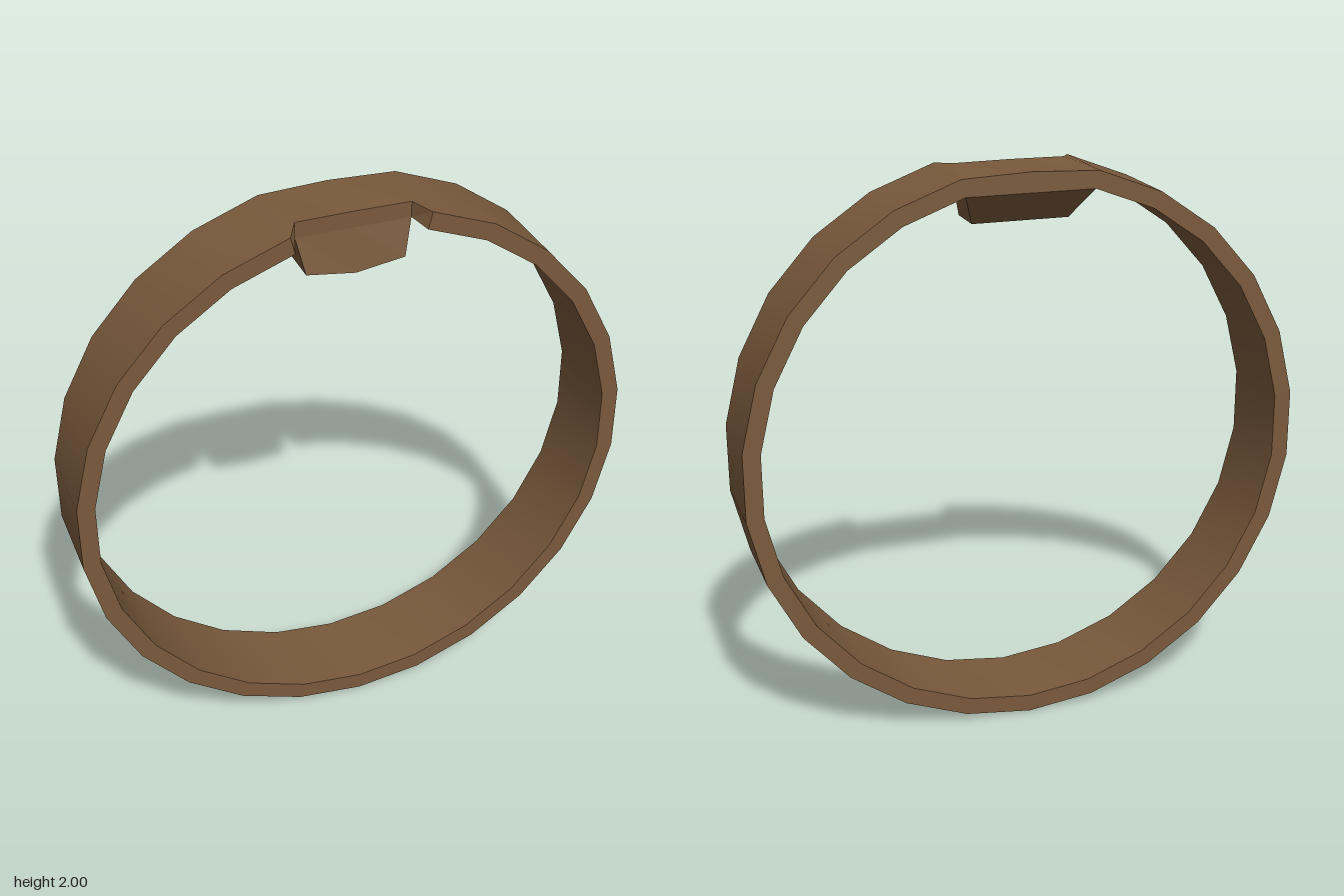
import * as THREE from 'three';
import { toCreasedNormals } from 'three/addons/utils/BufferGeometryUtils.js';

const SIDES = 26, OUTER = 1.007, INNER = 0.945, CENTRE = 1.007, HALF = 0.157;

// Point on the band, counted in steps from the bottom towards +x
function bandPoint(k, radius, z) {
  const a = (k * 2 * Math.PI) / SIDES;
  return [radius * Math.sin(a), CENTRE - radius * Math.cos(a), z];
}

// Collects a convex polygon as a triangle fan
function addFace(out, ...pts) {
  for (let i = 1; i < pts.length - 1; i++) out.push(...pts[0], ...pts[i], ...pts[i + 1]);
}

// Joins a row of closed cross-sections
function addSkin(out, sections) {
  for (let s = 0; s < sections.length - 1; s++) {
    const a = sections[s], b = sections[s + 1];
    a.forEach((p, i) => {
      const j = (i + 1) % a.length;
      addFace(out, p, a[j], b[j], b[i]);
    });
  }
}

function toGeometry(out) {
  const g = new THREE.BufferGeometry();
  g.setAttribute('position', new THREE.Float32BufferAttribute(out, 3));
  g.computeVertexNormals();
  return g;
}

export function createModel() {
  const group = new THREE.Group();
  group.name = 'ring';
  const brown = new THREE.MeshStandardMaterial({ color: 0x7a5a3c });
  brown.name = 'brown';

  // Band, open at the top where the notched block sits
  const sections = [];
  for (let k = 12; k >= -12; k--) {
    sections.push([
      bandPoint(k, OUTER, -HALF), bandPoint(k, OUTER, HALF),
      bandPoint(k, INNER, HALF), bandPoint(k, INNER, -HALF),
    ]);
  }
  const bandFaces = [];
  addSkin(bandFaces, sections);
  const band = new THREE.Mesh(toCreasedNormals(toGeometry(bandFaces), 0.4), brown);
  band.name = 'band';
  group.add(band);

  // Tapered block: cross-sections at its right end, middle and left end
  const topBack = bandPoint(12, OUTER, -HALF), backLip = bandPoint(12, INNER, -HALF);
  const topFront = [0.2, 1.993, 0.08], lip = [0.2, 1.937, 0.08];
  const bottomFront = [0.172, 1.81, 0.103], bottomBack = [0.172, 1.81, -0.045];
  const end = [topBack, topFront, lip, bottomFront, bottomBack, backLip];
  const mirror = ([x, y, z]) => [-x, y, z];
  const middle = end.map(([, y, z]) => [0, y, z]);
  middle[0][1] = middle[1][1] = 1.995;
  middle[3][1] = 1.785;
  const blockFaces = [];
  addSkin(blockFaces, [end.map(mirror), middle, end]);

  // Ends of the block: top corner, slanted notch wall, underside corner, block side
  const outerFront = bandPoint(12, OUTER, HALF), innerFront = bandPoint(12, INNER, HALF);
  const endFaces = [
    [topBack, topFront, outerFront],
    [outerFront, topFront, lip, innerFront],
    [backLip, innerFront, lip],
    [backLip, lip, bottomFront, bottomBack],
  ];
  for (const f of endFaces) {
    addFace(blockFaces, ...f);
    addFace(blockFaces, ...f.map(mirror).reverse());
  }
  const block = new THREE.Mesh(toGeometry(blockFaces), brown);
  block.name = 'notchedBlock';
  group.add(block);

  return group;
}
